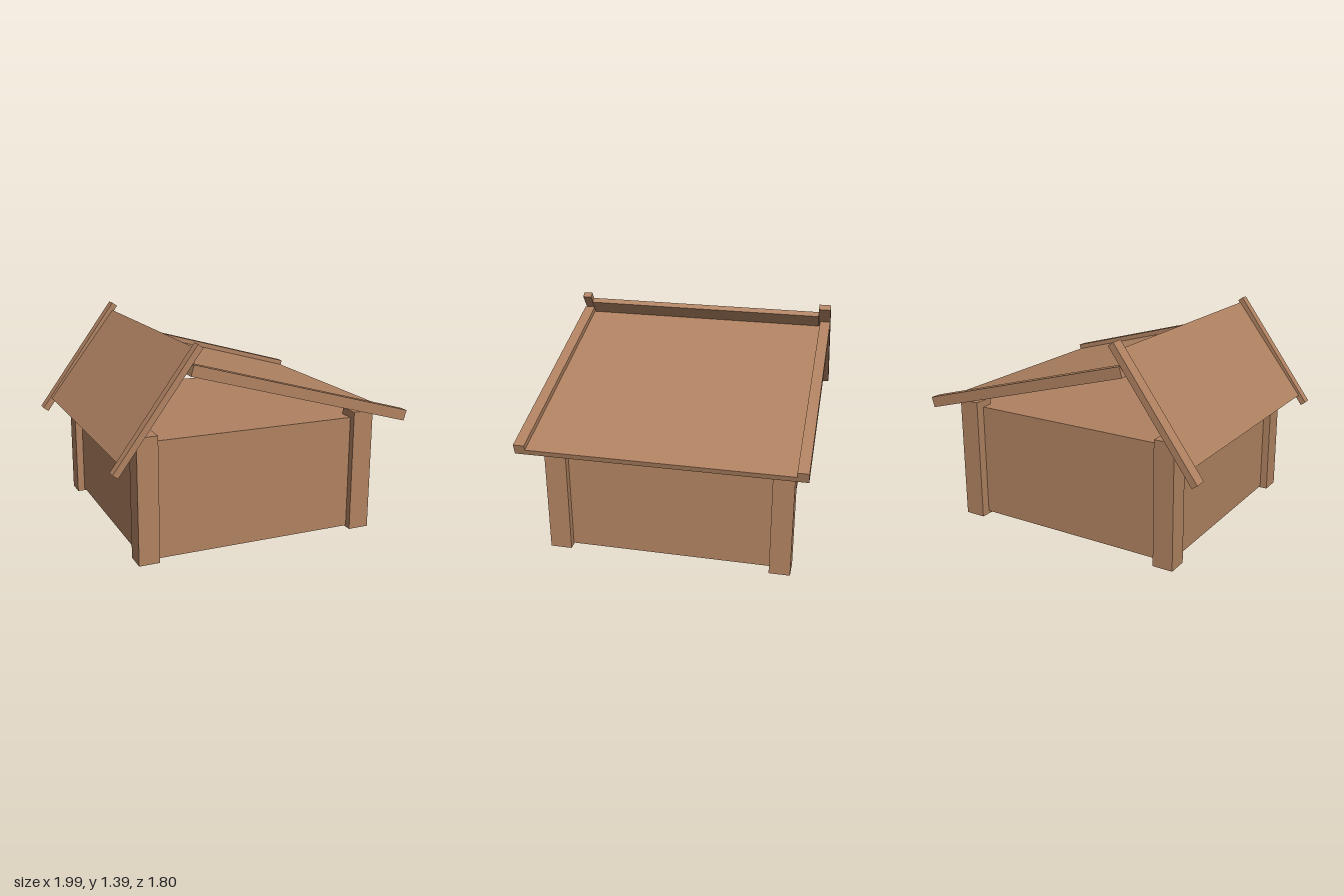
import * as THREE from 'three';

export function createModel() {
  const model = new THREE.Group();
  model.name = 'woodenHut';

  const wood = new THREE.MeshStandardMaterial({ color: 0xb08261 });
  wood.name = 'brownWood';
  const thinWood = new THREE.MeshStandardMaterial({ color: 0xb08261, side: THREE.DoubleSide });
  thinWood.name = 'brownWoodThin';

  const add = (name, geometry, x, y, z, tilt = 0, material = wood) => {
    const mesh = new THREE.Mesh(geometry, material);
    mesh.name = name;
    mesh.position.set(x, y, z);
    mesh.rotation.z = tilt;
    model.add(mesh);
  };

  // A board running from (x0, y0) to (x1, y1) on its centre line, spanning z0 to z1.
  // drop shifts it perpendicular to its face, downwards.
  const board = (name, [x0, y0], [x1, y1], thick, z0, z1, drop = 0) => {
    const tilt = Math.atan2(y1 - y0, x1 - x0);
    add(name, new THREE.BoxGeometry(Math.hypot(x1 - x0, y1 - y0), thick, z1 - z0),
      (x0 + x1) / 2 + drop * Math.sin(tilt), (y0 + y1) / 2 - drop * Math.cos(tilt), (z0 + z1) / 2, tilt);
  };

  // Hollow body: four thin walls and a ceiling, open at the bottom
  const body = new THREE.BoxGeometry(1.52, 0.755, 1.48);
  const faces = Array.from(body.index.array);
  faces.splice(18, 6); // drop the bottom face
  body.setIndex(faces);
  body.clearGroups();
  add('bodyWalls', body, 0.01, 0.3975, -0.01, 0, thinWood);

  // Corner posts
  for (const [side, x, w] of [['Right', -0.7325, 0.135], ['Left', 0.75, 0.14]]) {
    add('frontPost' + side, new THREE.BoxGeometry(w, 0.81, 0.14), x, 0.415, 0.705);
    add('backPost' + side, new THREE.BoxGeometry(w, 0.82, 0.135), x, 0.41, -0.7425);
  }

  // Long shallow roof slope with a raised beam at each end
  const high = [-0.495, 1.22], low = [0.985, 0.799];
  board('longRoofPanel', high, low, 0.036, -0.83, 0.83, 0.017);
  board('longRoofFrontBeam', high, low, 0.07, 0.83, 0.9);
  board('longRoofBackBeam', high, low, 0.07, -0.9, -0.83);

  // Short steep roof slope with a trim board at each end
  board('steepRoofPanel', [-0.919, 0.691], [-0.432, 1.323], 0.038, -0.82, 0.825);
  board('steepRoofFrontBeam', [-0.968, 0.642], [-0.441, 1.358], 0.04, 0.835, 0.895);
  board('steepRoofBackBeam', [-0.982, 0.622], [-0.428, 1.377], 0.043, -0.9, -0.82);

  return model;
}
